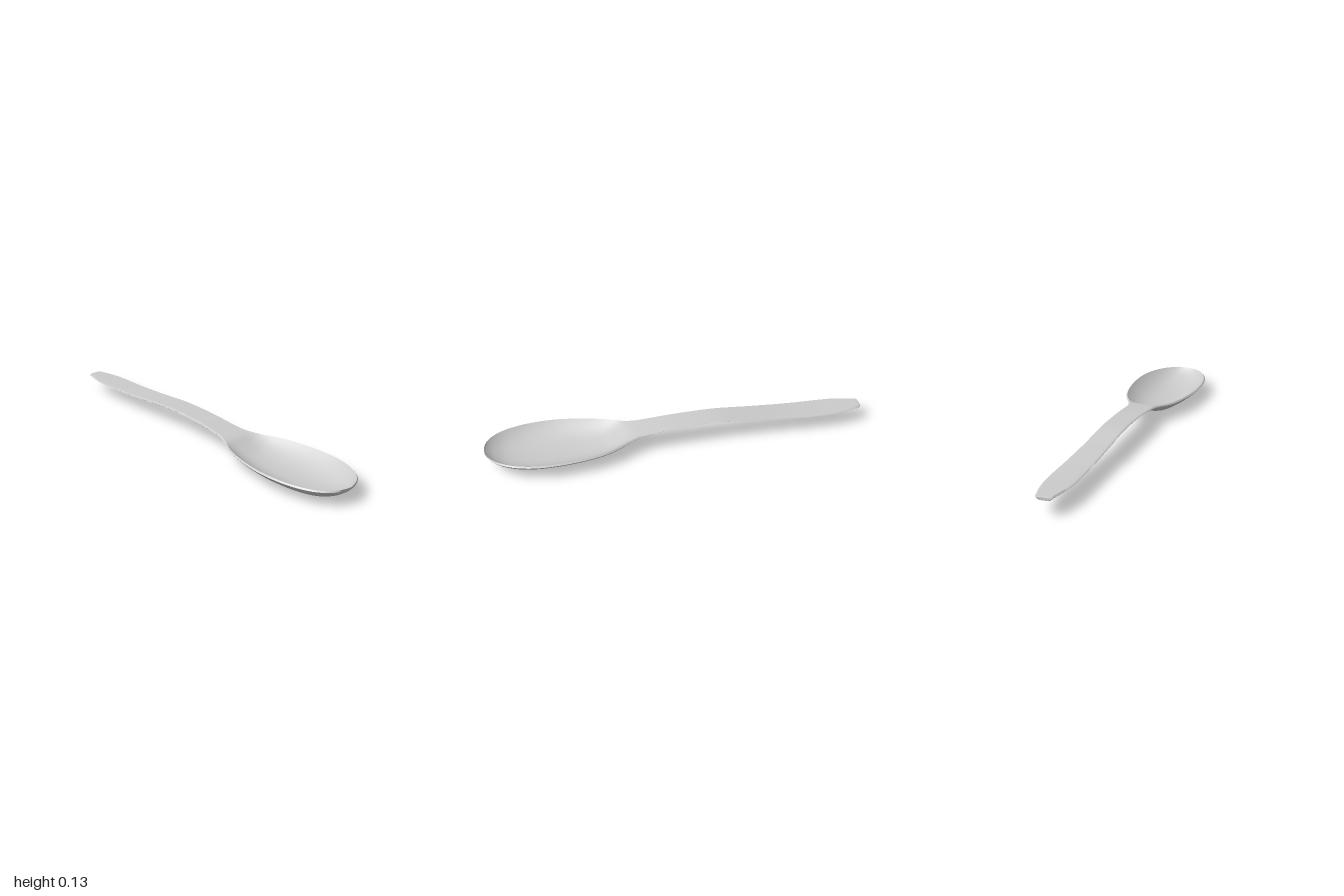
import * as THREE from 'three';
import { toCreasedNormals } from 'three/addons/utils/BufferGeometryUtils.js';

// Stations along the spoon: x, back edge z, front edge z, top y, underside y, bowl hollow depth
const STATIONS = [
  [-1.0, -0.092, -0.035, 0.094, 0.08, 0],
  [-0.993, -0.104, -0.027, 0.095, 0.078, 0],
  [-0.975, -0.112, -0.022, 0.095, 0.077, 0],
  [-0.93, -0.122, -0.01, 0.095, 0.077, 0],
  [-0.87, -0.131, 0.004, 0.095, 0.077, 0],
  [-0.78, -0.135, 0.013, 0.095, 0.078, 0],
  [-0.6, -0.123, 0.019, 0.1, 0.083, 0],
  [-0.4, -0.108, 0.025, 0.113, 0.097, 0],
  [-0.2, -0.099, 0.032, 0.127, 0.109, 0],
  [0.0, -0.093, 0.042, 0.123, 0.105, 0],
  [0.13, -0.09, 0.051, 0.113, 0.092, 0],
  [0.21, -0.093, 0.061, 0.104, 0.077, 0],
  [0.27, -0.111, 0.083, 0.096, 0.058, 0.004],
  [0.33, -0.139, 0.117, 0.09, 0.034, 0.028],
  [0.4, -0.169, 0.147, 0.089, 0.016, 0.054],
  [0.5, -0.191, 0.176, 0.089, 0.007, 0.069],
  [0.62, -0.202, 0.197, 0.089, 0.002, 0.075],
  [0.74, -0.198, 0.198, 0.089, 0.002, 0.075],
  [0.83, -0.178, 0.184, 0.089, 0.007, 0.069],
  [0.9, -0.146, 0.16, 0.089, 0.02, 0.057],
  [0.95, -0.108, 0.126, 0.089, 0.039, 0.038],
  [0.98, -0.067, 0.09, 0.089, 0.058, 0.019],
  [0.994, -0.033, 0.056, 0.089, 0.071, 0.007],
  [1.0, -0.008, 0.026, 0.088, 0.078, 0],
];

const STEPS = 140; // sections along the length
const HALF = 24;   // segments across the underside and across the top

function spoonGeometry() {
  const curve = (a, b, c) => new THREE.CatmullRomCurve3(
    STATIONS.map((s) => new THREE.Vector3(s[a], s[b], s[c])), false, 'catmullrom', 0.5);
  const outline = curve(0, 1, 2);
  const heights = curve(3, 4, 5);
  const pos = [], index = [];
  const ring = 2 * (HALF + 1);

  for (let i = 0; i <= STEPS; i++) {
    const { x, y: z0, z: z1 } = outline.getPoint(i / STEPS);
    const { x: top, y: bottom, z: hollow } = heights.getPoint(i / STEPS);
    const mid = (z0 + z1) / 2, w = (z1 - z0) / 2;
    const bowl = THREE.MathUtils.smoothstep(x, 0.1, 0.42);
    const power = THREE.MathUtils.lerp(5, 2.6, bowl); // flat handle, round bowl
    const edge = 0.007;
    const inner = Math.max(0.5, 1 - 0.007 / w);
    // underside, front edge to back edge
    for (let j = 0; j <= HALF; j++) {
      const t = Math.cos(Math.PI * j / HALF);
      const drop = (top - edge - bottom) * (1 - Math.abs(t) ** power);
      pos.push(x, top - edge - drop, mid + w * t);
    }
    // top, back edge to front edge
    for (let j = 0; j <= HALF; j++) {
      const t = -Math.cos(Math.PI * j / HALF);
      const dip = Math.max(0, hollow) * (1 - Math.abs(t) ** power);
      pos.push(x, top - dip, mid + w * inner * t);
    }
  }
  for (let i = 0; i < STEPS; i++) {
    for (let j = 0; j < ring; j++) {
      const k = (j + 1) % ring;
      const a = i * ring + j, d = i * ring + k;
      index.push(a, d, a + ring, a + ring, d, d + ring);
    }
  }
  // close both ends
  for (const i of [0, STEPS]) {
    const s = STATIONS[i ? STATIONS.length - 1 : 0];
    const centre = pos.length / 3;
    pos.push(s[0], (s[3] + s[4]) / 2, (s[1] + s[2]) / 2);
    for (let j = 0; j < ring; j++) {
      const a = i * ring + j, b = i * ring + (j + 1) % ring;
      index.push(centre, i ? a : b, i ? b : a);
    }
  }
  const geo = new THREE.BufferGeometry();
  geo.setAttribute('position', new THREE.Float32BufferAttribute(pos, 3));
  geo.setIndex(index);
  return toCreasedNormals(geo, 0.8);
}

export function createModel() {
  const group = new THREE.Group();
  group.name = 'spoon';
  // handle and bowl are one continuous shell
  const body = new THREE.Mesh(spoonGeometry(), new THREE.MeshStandardMaterial({ color: 0xcccccc }));
  body.name = 'handleAndBowl';
  group.add(body);
  return group;
}
